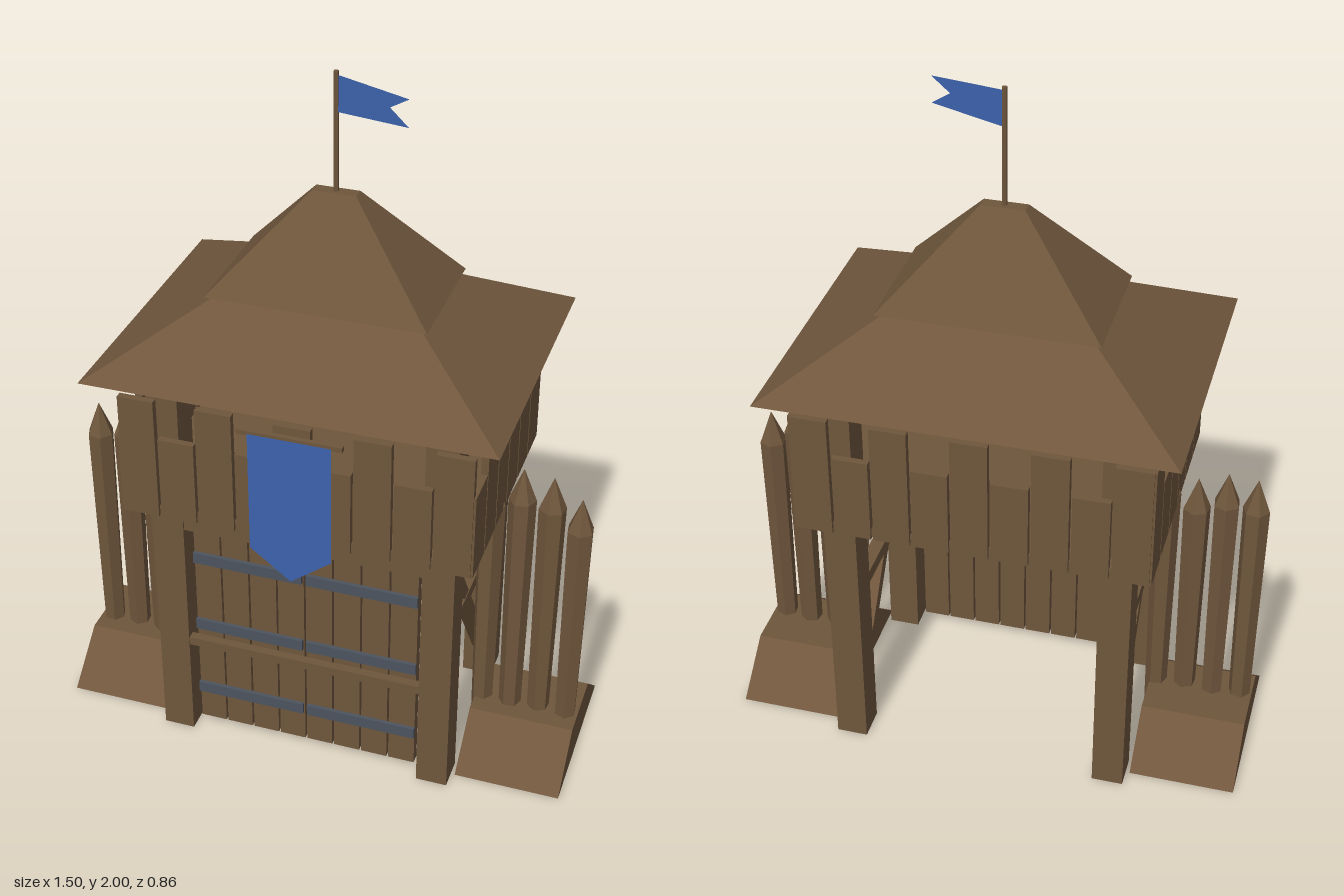
import * as THREE from 'three';

export function createModel() {
  const root = new THREE.Group();
  root.name = 'gatehouse';

  const mat = (name, color, extra = {}) => {
    const m = new THREE.MeshStandardMaterial({ color, flatShading: true, ...extra });
    m.name = name;
    return m;
  };
  const wood = mat('wood', 0x6f563c);
  const iron = mat('iron', 0x4c545e);
  const cloth = mat('blueCloth', 0x3c62ac, { side: THREE.DoubleSide });

  const add = (name, geo, material, x = 0, y = 0, z = 0, parent = root) => {
    const m = new THREE.Mesh(geo, material);
    m.name = name;
    m.position.set(x, y, z);
    parent.add(m);
    return m;
  };
  // Box given by its centre in x and z and its bottom and top in y
  const box = (name, w, d, y0, y1, x, z, material = wood, parent = root) =>
    add(name, new THREE.BoxGeometry(w, y1 - y0, d), material, x, (y0 + y1) / 2, z, parent);
  const group = (name) => {
    const g = new THREE.Group();
    g.name = name;
    root.add(g);
    return g;
  };
  // Box whose top is narrower than its bottom (half sizes)
  const frustum = (bx, bz, tx, tz, h) => {
    const geo = new THREE.BoxGeometry(2, h, 2);
    const p = geo.attributes.position;
    for (let i = 0; i < p.count; i++) {
      const top = p.getY(i) > 0;
      p.setXYZ(i, p.getX(i) * (top ? tx : bx), p.getY(i) + h / 2, p.getZ(i) * (top ? tz : bz));
    }
    geo.computeVertexNormals();
    return geo;
  };
  const flat = (points) =>
    new THREE.ShapeGeometry(new THREE.Shape(points.map(([x, y]) => new THREE.Vector2(x, y))));

  // Corner posts, top beams and side bracing
  const frame = group('frame');
  for (const s of [-1, 1]) {
    for (const t of [-1, 1]) box('cornerPost', 0.09, 0.095, 0, 1.19, s * 0.389, t * 0.258, wood, frame);
    box('topBeamAlong', 0.91, 0.06, 1.187, 1.225, 0, s * 0.26, wood, frame);
    box('topBeamAcross', 0.058, 0.65, 1.182, 1.23, s * 0.388, 0, wood, frame);
    box('sideRail', 0.04, 0.43, 0.455, 0.493, s * 0.389, 0, wood, frame);
    const brace = add('diagonalBrace', new THREE.BoxGeometry(0.036, 0.036, 0.78), wood,
      s * 0.389, 0.425, 0, frame);
    brace.rotation.x = -Math.atan2(0.61, 0.43);
  }
  box('gateLintel', 0.69, 0.085, 0.72, 0.803, 0, 0.258, wood, frame);

  // Fighting platform with alternating high and low planks
  const platform = group('platform');
  box('floor', 0.97, 0.71, 0.802, 0.83, 0, 0, wood, platform);
  const plankTop = (high) => (high ? 1.165 : 1.05);
  for (const s of [-1, 1]) {
    for (let i = -4; i <= 4; i++)
      box('parapetPlank', 0.102, 0.02, 0.8, plankTop(i % 2 === 0), i * 0.1095, s * 0.354, wood, platform);
    for (let i = 0; i < 6; i++)
      box('parapetSidePlank', 0.02, 0.114, 0.8, plankTop(i % 2 === 1), s * 0.485, 0.303 - i * 0.1212, wood, platform);
  }

  // Two-leaved gate with iron straps and a locking bar
  const gate = group('gate');
  for (let i = 0; i < 8; i++)
    box('gatePlank', 0.077, 0.03, 0.03, 0.71, (i - 3.5) * 0.0825, 0.26, wood, gate);
  for (const s of [-1, 1])
    for (const y of [0.13, 0.365, 0.6])
      box('ironStrap', 0.322, 0.012, y, y + 0.034, s * 0.167, 0.28, iron, gate);
  box('lockingBar', 0.69, 0.025, 0.314, 0.34, 0, 0.29, wood, gate);

  // Two-tier roof
  add('lowerRoof', frustum(0.565, 0.432, 0.275, 0.157, 0.172), wood, 0, 1.23, 0);
  add('upperRoof', frustum(0.305, 0.187, 0.06, 0.018, 0.27), wood, 0, 1.402, 0);

  // Flag on its pole
  add('flagPole', new THREE.CylinderGeometry(0.007, 0.007, 0.34, 6), wood, 0, 1.83, 0);
  const flag = add('flag',
    flat([[0, 1.89], [0.22, 1.902], [0.163, 1.942], [0.22, 1.977], [0, 1.99]]), cloth);
  flag.rotation.y = -0.3;

  // Hanging banner
  box('bannerBar', 0.29, 0.014, 1.132, 1.146, 0, 0.378);
  add('banner',
    flat([[-0.115, 1.138], [-0.115, 0.775], [0, 0.687], [0.115, 0.775], [0.115, 1.138]]),
    cloth, 0, 0, 0.386);

  // Earth banks with sharpened stakes, on both sides
  const palisade = group('palisade');
  const stakeX = [0.462, 0.547, 0.63, 0.712];
  const tips = { '-1': [0.92, 0.88, 0.915, 0.905], 1: [0.91, 0.945, 0.93, 0.88] };
  for (const s of [-1, 1]) {
    add('bank', frustum(0.152, 0.256, 0.152, 0.107, 0.13), wood, s * 0.598, 0, 0, palisade);
    stakeX.forEach((x, i) => {
      const tip = tips[s][i], neck = tip - 0.1;
      const profile = [[0, 0.004], [0.031, 0.004], [0.039, neck], [0, tip]]
        .map(([r, y]) => new THREE.Vector2(r, y));
      const stake = add('stake', new THREE.LatheGeometry(profile, 6), wood, s * x, 0, 0.028 + (i % 2) * 0.006, palisade);
      stake.rotation.y = i * 1.3 + s * 0.4;
    });
  }
  return root;
}
